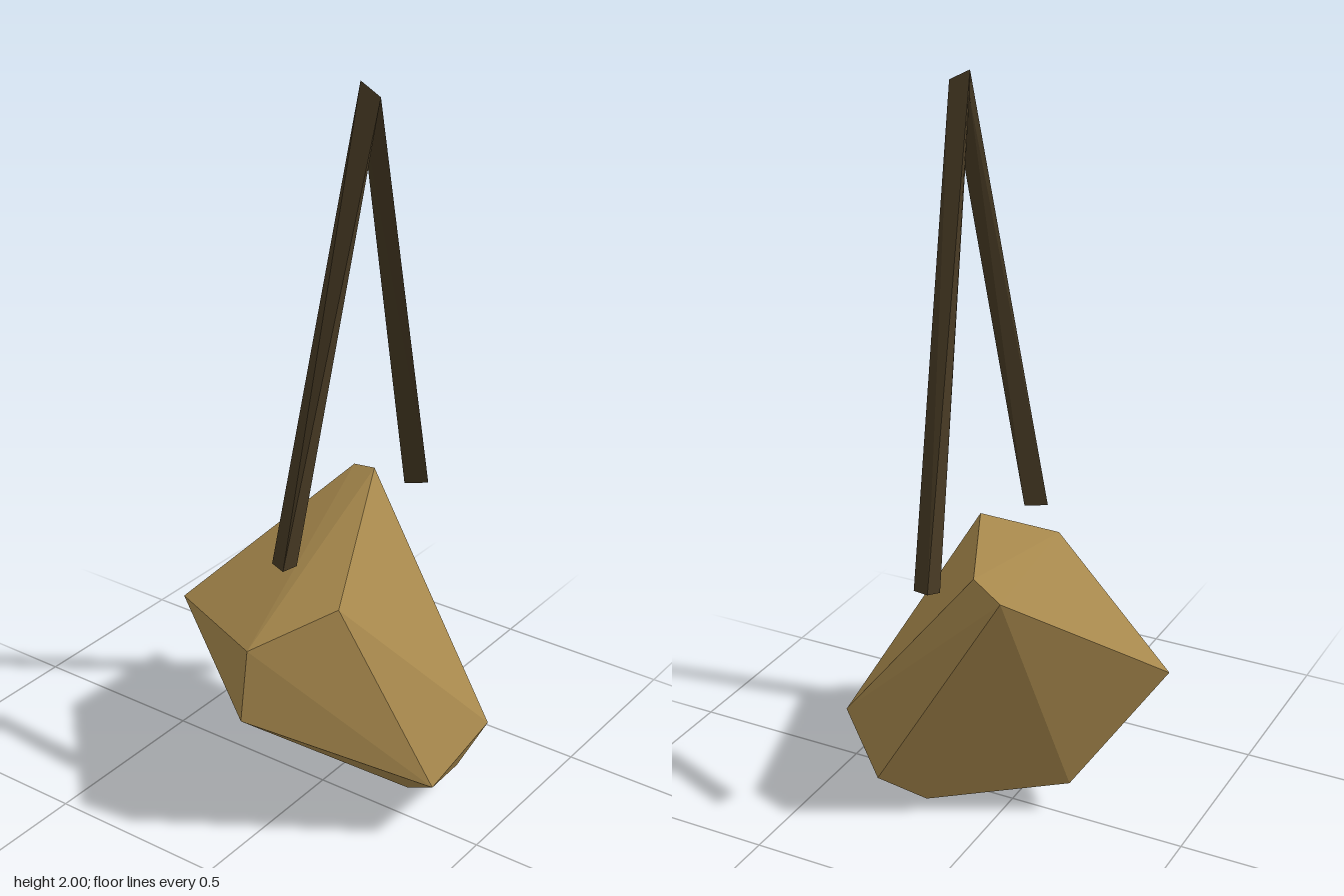
import * as THREE from 'three';
import { ConvexGeometry } from 'three/addons/geometries/ConvexGeometry.js';

// Faceted stone: convex body around a few corner points
function makeStone(material) {
  const corners = [
    [-0.395, 0.63, 0.055], [-0.4, 0.42, 0.035], [-0.23, 0.725, 0.215],
    [0.3, 0.83, -0.045], [0.338, 0.8, -0.138], [0.168, 0.262, 0.42],
    [-0.08, 0.19, 0.408], [0.182, 0.078, 0.32], [0.108, 0, 0.21],
    [-0.067, 0.475, -0.422], [0.013, 0.11, -0.178],
  ].map((p) => new THREE.Vector3(...p));
  const mesh = new THREE.Mesh(new ConvexGeometry(corners), material);
  mesh.name = 'stone';
  return mesh;
}

// Hanging cord: three-sided bar bent over a single peak
function makeCord(material) {
  const sections = [
    [[-0.265, 0.801, 0.07], [-0.233, 0.792, 0.012], [-0.205, 0.79, 0.068]],
    [[-0.033, 1.97, 0.187], [-0.033, 2.0, 0.13], [-0.033, 1.935, 0.132]],
    [[0.365, 0.797, 0.087], [0.393, 0.811, 0.033], [0.335, 0.791, 0.03]],
  ];
  const index = [0, 1, 2, 8, 7, 6]; // end caps
  for (let s = 0; s < 2; s++) {
    for (let i = 0; i < 3; i++) {
      const a = s * 3 + i, b = s * 3 + (i + 1) % 3;
      index.push(a, a + 3, b + 3, a, b + 3, b);
    }
  }
  const indexed = new THREE.BufferGeometry();
  indexed.setAttribute('position', new THREE.Float32BufferAttribute(sections.flat(2), 3));
  indexed.setIndex(index);
  const geometry = indexed.toNonIndexed();
  geometry.computeVertexNormals();
  const mesh = new THREE.Mesh(geometry, material);
  mesh.name = 'cord';
  return mesh;
}

export function createModel() {
  const ochre = new THREE.MeshStandardMaterial({ color: 0xa8894d });
  ochre.name = 'ochre stone';
  const darkBrown = new THREE.MeshStandardMaterial({ color: 0x463923 });
  darkBrown.name = 'dark brown cord';

  const group = new THREE.Group();
  group.name = 'pendant';
  group.add(makeStone(ochre), makeCord(darkBrown));
  return group;
}
